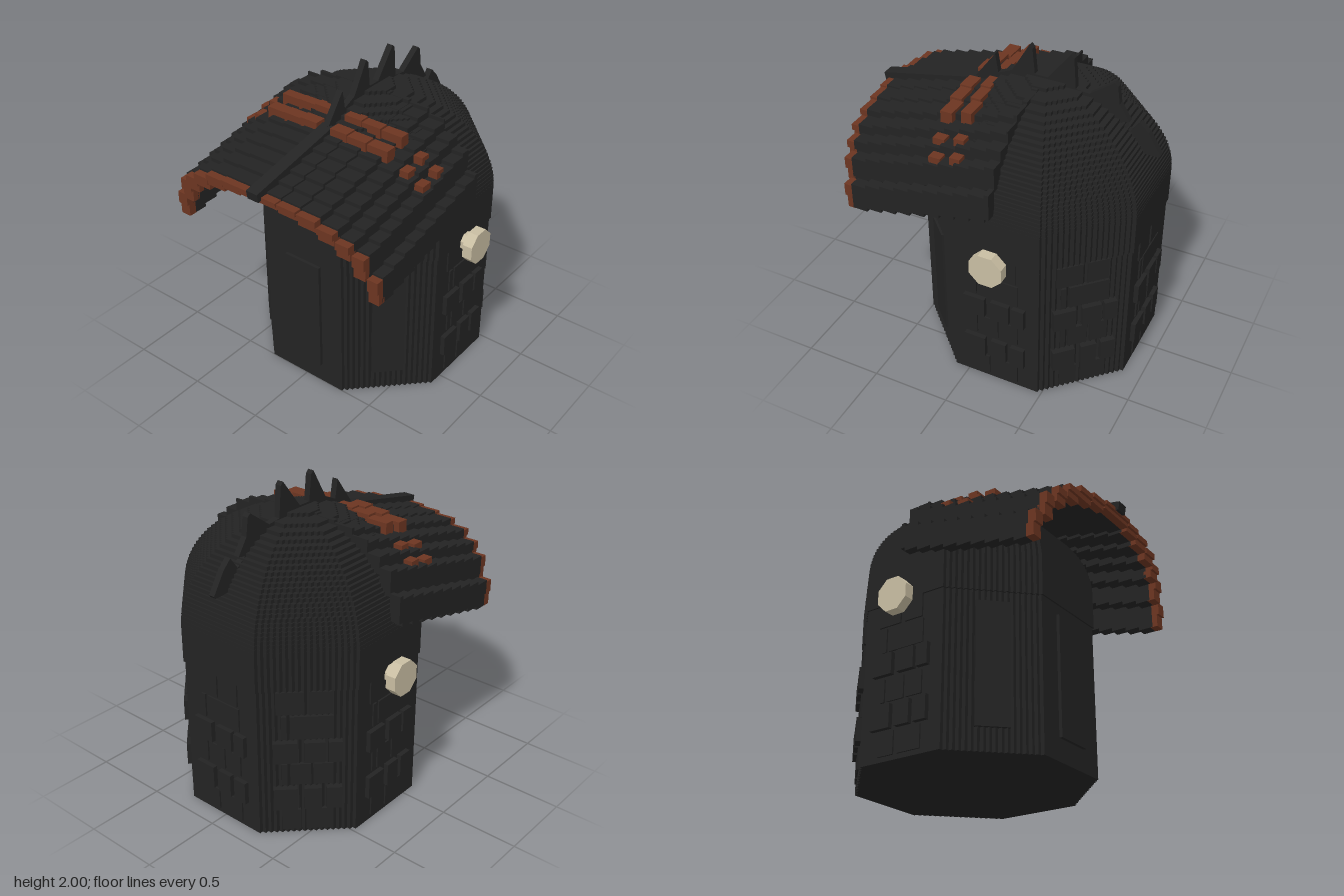
import * as THREE from 'three';

const U = 0.0235; // voxel size
const CZ = -0.19; // centre of the tower along z

export function createModel() {
  const model = new THREE.Group();
  const mat = (name, color) => {
    const m = new THREE.MeshStandardMaterial({ color });
    m.name = name;
    return m;
  };
  const black = mat('charcoal', 0x232323);
  const rust = mat('rust brown', 0x6c3521);
  const cream = mat('cream', 0xc8bda2);

  const group = (name, parent = model) => {
    const g = new THREE.Group();
    g.name = name;
    parent.add(g);
    return g;
  };
  // box given by its extents
  const box = (parent, name, m, x0, x1, y0, y1, z0, z1) => {
    const b = new THREE.Mesh(new THREE.BoxGeometry(x1 - x0, y1 - y0, z1 - z0), m);
    b.position.set((x0 + x1) / 2, (y0 + y1) / 2, (z0 + z1) / 2);
    b.name = name;
    parent.add(b);
    return b;
  };

  // octagon whose diagonal sides are stair-stepped
  const octagon = (r) => {
    const c = r * Math.tan(Math.PI / 8);
    const n = Math.max(1, Math.round((r - c) / U));
    const s = (r - c) / n;
    const quarter = [[r, c]];
    for (let i = 0; i < n; i++) {
      quarter.push([r - (i + 1) * s, c + i * s], [r - (i + 1) * s, c + (i + 1) * s]);
    }
    const pts = [];
    for (let k = 0; k < 4; k++) {
      const [a, b] = [[1, 0], [0, 1], [-1, 0], [0, -1]][k];
      quarter.forEach(([x, y]) => pts.push(new THREE.Vector2(a * x - b * y, b * x + a * y)));
    }
    return new THREE.Shape(pts);
  };
  const layer = (parent, name, r, y0, y1) => {
    const g = new THREE.ExtrudeGeometry(octagon(r), { depth: y1 - y0, bevelEnabled: false });
    g.rotateX(-Math.PI / 2);
    const m = new THREE.Mesh(g, black);
    m.position.set(0, y0, CZ);
    m.name = name;
    parent.add(m);
  };

  // tower wall and upper collar
  const tower = group('tower');
  layer(tower, 'wall', 0.69, 0, 0.97);
  layer(tower, 'collar', 0.7, 0.97, 1.22);

  // stepped dome
  const dome = group('dome');
  for (let y = 1.22; y < 1.79; y += U) {
    const t = (y + U / 2 - 1.2) / 0.605;
    layer(dome, 'domeLayer', 0.7 * Math.sqrt(1 - t * t), y, y + U);
  }

  // wall faces: 0 is the front, then every 45 degrees
  const bricks = [
    [0.03, 0.17, [[-0.15, -0.04], [-0.01, 0.15]], 0.7],
    [0.185, 0.33, [[-0.2, -0.06], [-0.02, 0.08], [0.11, 0.2]], 0.72],
    [0.35, 0.49, [[-0.15, -0.12], [-0.1, 0.02], [0.04, 0.15]], 0.7],
    [0.51, 0.645, [[-0.2, -0.06], [-0.02, 0.1], [0.12, 0.2]], 0.72],
    [0.66, 0.81, [[-0.15, -0.12], [-0.1, 0.15]], 0.7],
    [0.825, 0.97, [[-0.18, -0.02], [0.01, 0.14]], 0.7],
  ];
  for (let k = 0; k < 8; k++) {
    const face = group(k === 0 ? 'frontFace' : 'wallFace');
    face.position.z = CZ;
    face.rotation.y = (k * Math.PI) / 4;
    if (k === 0) {
      box(face, 'door', black, -0.13, 0.13, 0.14, 0.9, 0.6, 0.71);
    } else if (k === 1 || k === 7) {
      box(face, 'frontPanel', black, -0.1, 0.1, 0.14, 0.9, 0.6, 0.7);
    } else {
      bricks.forEach(([y0, y1, spans, r]) =>
        spans.forEach(([a, b]) => box(face, 'brick', black, a, b, y0, y1, 0.6, r)));
    }
  }

  // curved canopy of sloping columns: x0, x1, front top y, front thickness, front z
  const columns = [
    [0, 0.14, 1.55, 0.05, 0.88],
    [0.14, 0.27, 1.54, 0.06, 0.87],
    [0.27, 0.4, 1.525, 0.075, 0.86],
    [0.4, 0.51, 1.485, 0.08, 0.85],
    [0.51, 0.6, 1.43, 0.095, 0.83],
    [0.6, 0.68, 1.365, 0.145, 0.8],
    [0.68, 0.75, 1.23, 0.16, 0.77],
  ];
  const canopy = group('canopy');
  const SLOPE = 0.24;
  const STEP = U / SLOPE;
  for (const side of [-1, 1]) {
    const span = (a, b) => (side > 0 ? [a, b] : [-b, -a]);
    columns.forEach(([x0, x1, top, thick, front]) => {
      const [a, b] = span(x0, x1);
      // front trim, leaning with the slope
      box(canopy, 'frontTrim', rust, a, b, top - thick / 2, top, front - 0.05, front);
      box(canopy, 'frontTrim', rust, a, b, top - thick, top - thick / 2, front - 0.065, front - 0.015);
      // stair-stepped panels rising to the dome
      for (let z = front - 0.05, i = 0; z > -0.18; z -= STEP, i++) {
        const y = top + (i + 0.5) * U;
        box(canopy, 'roofStep', black, a, b, y - thick - 0.01, y, Math.max(z - STEP, -0.19), z);
      }
    });
    // two broken bands across the canopy: x0, x1, column, z shift
    [[0.05, 0.17, 0, 0], [0.17, 0.3, 1, -0.005], [0.3, 0.44, 2, -0.02],
      [0.5, 0.57, 4, -0.04], [0.6, 0.66, 5, -0.06]].forEach(([x0, x1, c, dz]) => {
      const [a, b] = span(x0, x1);
      const [, , top, , front] = columns[c];
      for (const [z0, z1] of [[0.095, 0.16], [0.22, 0.295]]) {
        const y = top + (front - (z0 + z1) / 2 - dz) * SLOPE;
        box(canopy, 'band', rust, a, b, y - 0.05, y + 0.025, z0 + dz, z1 + dz);
      }
    });
  }

  // plate in the y-z plane, extruded across x
  const plate = (name, pts, half) => {
    const shape = new THREE.Shape(pts.map(([z, y]) => new THREE.Vector2(-z, y)));
    const g = new THREE.ExtrudeGeometry(shape, { depth: half * 2, bevelEnabled: false });
    g.translate(0, 0, -half);
    g.rotateY(Math.PI / 2);
    const m = new THREE.Mesh(g, black);
    m.name = name;
    model.add(m);
  };
  plate('ridgeBeam', [[0.91, 1.58], [0.9, 1.525], [0.25, 1.66], [0.25, 1.715]], 0.04);
  plate('spikedCrest', [
    [0.27, 1.715], [0.14, 1.89], [0.12, 1.77], [0.03, 1.81], [-0.08, 2], [-0.1, 1.98],
    [-0.117, 1.82], [-0.2, 1.82], [-0.34, 2], [-0.36, 1.98], [-0.375, 1.79], [-0.46, 1.78],
    [-0.61, 1.89], [-0.63, 1.87], [-0.645, 1.76], [-0.71, 1.66], [-0.66, 1.65], [-0.72, 1.6],
    [-0.775, 1.675], [-0.83, 1.62], [-0.91, 1.49], [-0.9, 1.475], [-0.78, 1.48], [-0.6, 1.55],
    [-0.3, 1.7], [0.2, 1.66],
  ], 0.02);

  // round side lamps on short stubs
  for (const side of [-1, 1]) {
    const lamp = group(side > 0 ? 'leftLamp' : 'rightLamp');
    [['disc', 0.112, 0.745, 0.81], ['stub', 0.06, 0.68, 0.75]].forEach(([name, r, a, b]) => {
      const g = new THREE.CylinderGeometry(r, r, b - a, 8).toNonIndexed();
      g.rotateY(Math.PI / 8);
      g.rotateZ(Math.PI / 2);
      g.computeVertexNormals();
      const m = new THREE.Mesh(g, cream);
      m.position.set((side * (a + b)) / 2, 0.96, CZ);
      m.name = name;
      lamp.add(m);
    });
  }
  return model;
}
